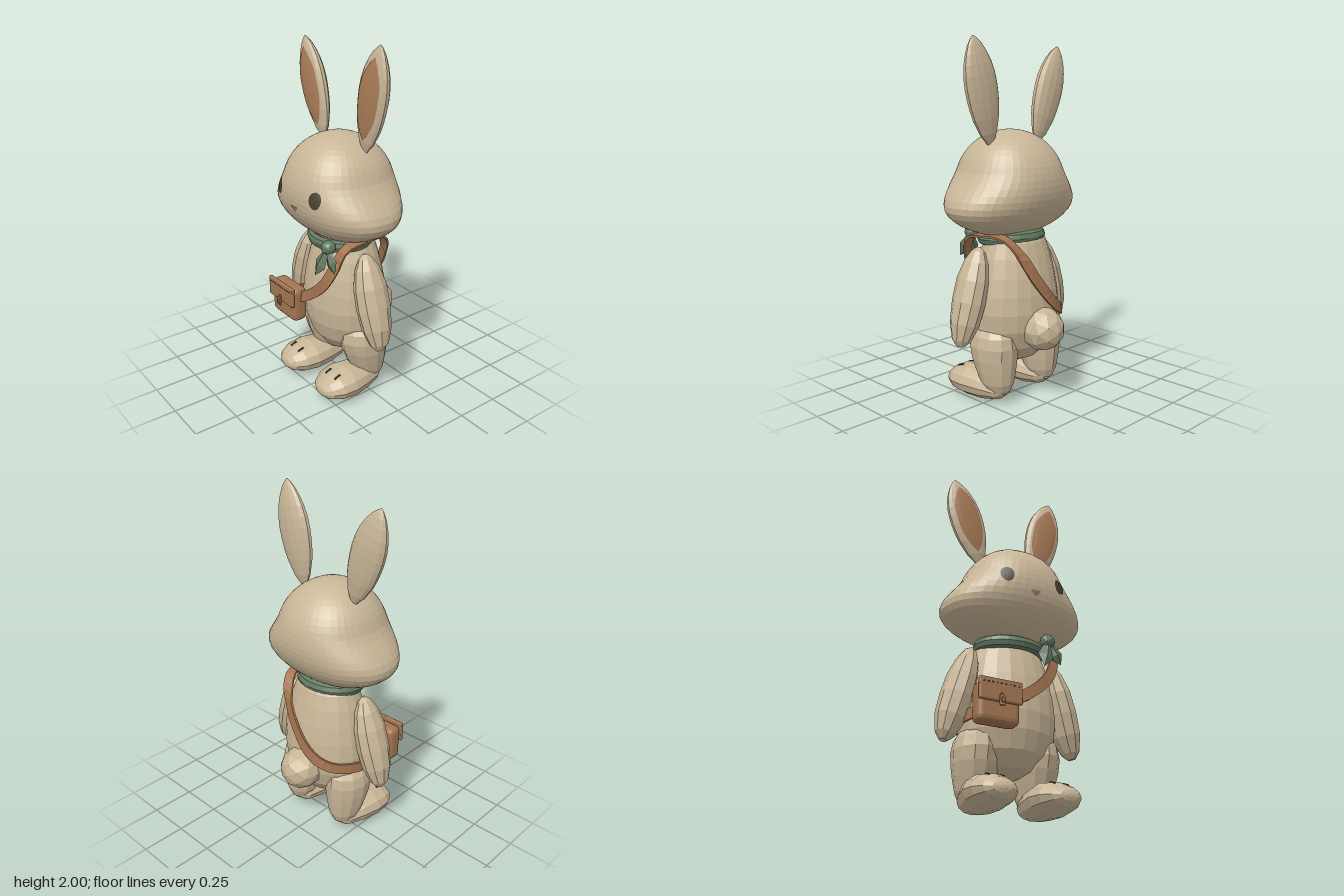
import * as THREE from 'three';
import { RoundedBoxGeometry } from 'three/addons/geometries/RoundedBoxGeometry.js';

const V = (x, y, z) => new THREE.Vector3(x, y, z);
const mat = (name, color) => Object.assign(new THREE.MeshStandardMaterial({ color, flatShading: true }), { name });

// Skin a list of point rings; wrap closes each ring, loop joins last ring to first
function loft(rings, { wrap = true, loop = false } = {}) {
  const n = rings[0].length, m = rings.length, pts = rings.flat(), idx = [];
  for (let i = 0; i < (loop ? m : m - 1); i++)
    for (let j = 0; j < (wrap ? n : n - 1); j++) {
      const k = (j + 1) % n, i2 = (i + 1) % m;
      const a = i * n + j, b = i * n + k, c = i2 * n + k, d = i2 * n + j;
      idx.push(a, b, d, b, c, d);
    }
  if (wrap && !loop)
    for (const [row, top] of [[0, false], [m - 1, true]]) {
      const c = pts.length;
      pts.push(rings[row].reduce((s, p) => s.add(p), V(0, 0, 0)).divideScalar(n));
      for (let j = 0; j < n; j++) {
        const a = row * n + j, b = row * n + (j + 1) % n;
        idx.push(c, top ? a : b, top ? b : a);
      }
    }
  const g = new THREE.BufferGeometry().setFromPoints(pts);
  g.setIndex(idx);
  const flat = g.toNonIndexed();
  flat.computeVertexNormals();
  return flat;
}

// Horizontal ellipse, starting at +z and turning toward +x; power below 1 makes it boxier
const soft = (v, power) => Math.sign(v) * Math.abs(v) ** power;
const ring = (y, rx, rz, n, cz = 0, rzBack = rz, power = 1) => Array.from({ length: n }, (_, i) => {
  const a = i / n * Math.PI * 2, c = soft(Math.cos(a), power);
  return V(soft(Math.sin(a), power) * rx, y, cz + c * (c > 0 ? rz : rzBack));
});

// Linear lookup in a table of rows whose first entry is the key
function lookup(table, key) {
  let i = 0;
  while (i < table.length - 2 && table[i + 1][0] < key) i++;
  const a = table[i], b = table[i + 1];
  const t = THREE.MathUtils.clamp((key - a[0]) / (b[0] - a[0]), 0, 1);
  return a.map((v, k) => v + (b[k] - v) * t);
}

// Body profile: height, half width, half depth
const BODY = [[0.2, 0.03, 0.03], [0.24, 0.13, 0.12], [0.32, 0.22, 0.18], [0.42, 0.265, 0.212], [0.52, 0.275, 0.222],
  [0.62, 0.265, 0.216], [0.72, 0.246, 0.2], [0.82, 0.222, 0.175], [0.9, 0.193, 0.152], [0.97, 0.13, 0.11]];

// Head: round from the side, cheeks flaring low down
const HEAD_Y = 1.2175, HEAD_R = 0.297, HEAD_Z = 0.04, HEAD_POWER = 0.91;
function headSize(y) {
  const t = THREE.MathUtils.clamp((y - HEAD_Y) / HEAD_R, -1, 1), r = HEAD_R * Math.sqrt(1 - t * t);
  return [r * (1 + 0.61 * THREE.MathUtils.smoothstep(-t, -0.32, 0.65)), r];
}
function onFace(x, y) {
  const [w, d] = headSize(y), e = 2 / HEAD_POWER;
  return V(x, y, HEAD_Z + d * (1 - Math.abs(x / w) ** e) ** (1 / e) + 0.004);
}

// Ear profile: fraction of length, half width
const EAR = [[0, 0.02], [0.1, 0.055], [0.25, 0.085], [0.35, 0.096], [0.45, 0.102], [0.55, 0.104], [0.65, 0.1], [0.75, 0.088],
  [0.84, 0.069], [0.92, 0.045], [0.97, 0.022], [1, 0.003]];

export function createModel() {
  const fur = mat('fur', 0xc9b697), pink = mat('innerEar', 0xaa7d58), dark = mat('darkBrown', 0x483d31),
    leather = mat('leather', 0xa47551), green = mat('scarfGreen', 0x627a60), noseTone = mat('noseTone', 0xa6755c);
  const model = new THREE.Group();
  const add = (name, geo, material, parent = model) => {
    const m = new THREE.Mesh(geo, material);
    m.name = name;
    parent.add(m);
    return m;
  };
  const group = (name) => {
    const g = new THREE.Group();
    g.name = name;
    model.add(g);
    return g;
  };

  add('body', loft(BODY.map(([y, rx, rz]) => ring(y, rx, rz, 20))), fur);

  const headRings = [];
  for (let i = 0; i <= 26; i++) {
    const y = HEAD_Y + HEAD_R * Math.sin((i / 26 - 0.5) * Math.PI * 0.995), [w, d] = headSize(y);
    headRings.push(ring(y, w, d, 44, HEAD_Z, d, HEAD_POWER));
  }
  add('head', loft(headRings), fur);

  // Eyes and nose follow the face surface
  const patch = (cx, cy, h, halfWidth, steps) => loft(Array.from({ length: steps + 1 }, (_, i) => {
    const t = i / steps * 2 - 1;
    return [-1, -0.5, 0, 0.5, 1].map(u => onFace(cx + u * halfWidth(t), cy + t * h));
  }), { wrap: false });
  for (const s of [-1, 1])
    add(s > 0 ? 'leftEye' : 'rightEye', patch(s * 0.16, 1.225, 0.047, t => 0.034 * Math.sqrt(1 - t * t), 12), dark);
  add('nose', patch(0, 1.139, 0.016, t => 0.033 * (t + 1) / 2, 4), noseTone);

  // Ears: leaf shaped, with an inset coloured face on the front
  const ear = (name, x, tilt, len, wide) => {
    const g = group(name);
    g.position.set(x, 1.44, 0.005);
    g.rotation.z = tilt;
    add('earShell', loft(EAR.map(([t, w]) => ring(t * len, w * wide, w * 0.38, 14, 0, w * 0.5))), fur, g);
    const rows = [];
    for (let i = 0; i <= 14; i++) {
      const t = 0.12 + 0.77 * i / 14, w = lookup(EAR, t)[1];
      const k = 0.7 * Math.min(1, Math.sqrt(Math.sin(Math.PI * i / 14)) * 1.1 + 0.01);
      rows.push([-1, -0.6, -0.2, 0.2, 0.6, 1].map(u =>
        V(u * k * w * wide, t * len, w * 0.38 * Math.sqrt(1 - (u * k) ** 2) + 0.004)));
    }
    add('innerEar', loft(rows, { wrap: false }), pink, g);
  };
  ear('rightEar', -0.18, 0.31, 0.555, 1.03);
  ear('leftEar', 0.18, -0.21, 0.573, 1.06);

  // Arm profile along its length: height, half width, half depth
  const ARM = [[-0.275, 0.02, 0.025], [-0.24, 0.052, 0.055], [-0.15, 0.08, 0.085], [-0.03, 0.086, 0.1], [0.09, 0.081, 0.098],
    [0.19, 0.06, 0.075], [0.25, 0.035, 0.042], [0.275, 0.01, 0.012]];
  // Leg profile: height, half width, half depth, depth centre
  const LEG = [[0.07, 0.065, 0.075, -0.04], [0.12, 0.09, 0.1, -0.035], [0.19, 0.108, 0.12, -0.025], [0.26, 0.122, 0.138, -0.014],
    [0.33, 0.126, 0.15, -0.008], [0.39, 0.113, 0.142, -0.006], [0.44, 0.08, 0.105, -0.005], [0.47, 0.03, 0.05, 0]];
  // Foot sections: z, half width, bottom, top
  const FOOT = [[-0.1, 0.035, 0.055, 0.1], [-0.06, 0.08, 0.02, 0.135], [0.04, 0.114, 0, 0.172], [0.14, 0.134, 0, 0.182],
    [0.22, 0.124, 0.012, 0.166], [0.28, 0.09, 0.032, 0.138], [0.305, 0.05, 0.055, 0.11], [0.312, 0.015, 0.075, 0.092]];
  for (const s of [-1, 1]) {
    const side = s > 0 ? 'left' : 'right';
    const arm = add(side + 'Arm', loft(ARM.map(([y, rx, rz]) => ring(y, rx, rz, 10))), fur);
    arm.position.set(s * 0.308, 0.617, 0.04);
    arm.rotation.z = s * 0.27;
    add(side + 'Leg', loft(LEG.map(([y, rx, rz, cz]) => ring(y, rx, rz, 12, cz))), fur).position.x = s * 0.175;
    const foot = group(side + 'Foot');
    foot.position.x = s * 0.172;
    foot.rotation.y = s * 0.04;
    add('paw', loft(FOOT.map(([z, hw, lo, hi]) => Array.from({ length: 12 }, (_, i) => {
      const a = i / 12 * Math.PI * 2;
      return V(Math.cos(a) * hw, (lo + hi) / 2 + Math.sin(a) * (hi - lo) / 2, z);
    }))), fur, foot);
    for (const x of [-0.04, 0.04]) {
      const toe = add('toeMark', new THREE.BoxGeometry(0.01, 0.009, 0.04), dark, foot);
      toe.position.set(x, 0.159, 0.22);
      toe.rotation.x = 0.35;
    }
  }

  add('tail', new THREE.IcosahedronGeometry(0.123, 1), fur).position.set(0, 0.425, -0.217);

  // Scarf: neck ring, knot and two pointed tails
  const scarf = group('scarf');
  const band = add('neckBand', new THREE.TorusGeometry(0.175, 0.032, 8, 28).rotateX(Math.PI / 2), green, scarf);
  band.scale.set(1, 1.15, 0.85);
  band.position.set(0, 0.917, 0.028);
  band.rotation.x = 0.06;
  const knot = add('knot', new THREE.IcosahedronGeometry(0.042, 1), green, scarf);
  knot.position.set(0.137, 0.932, 0.21);
  for (const [tilt, len, lean] of [[-0.3, 0.175, -0.28], [0.55, 0.14, -0.08]]) {
    const tail = add('scarfTail', loft([[-1, 0.003, 0.003], [-0.6, 0.046, 0.022], [0, 0.014, 0.014]]
      .map(([t, w, d]) => ring(t * len, w, d, 4))), green, scarf);
    tail.position.set(0.137, 0.925, 0.215);
    tail.rotation.set(lean, 0, tilt);
  }

  // Shoulder strap: flat band looped around the body, kept outside its surface
  const path = new THREE.CatmullRomCurve3([V(-0.13, 0.53, 0.24), V(0, 0.6, 0.24), V(0.12, 0.705, 0.232), V(0.178, 0.82, 0.2),
    V(0.2, 0.92, 0.15), V(0.2, 0.942, 0.03), V(0.18, 0.935, -0.11), V(0.135, 0.85, -0.18), V(0.05, 0.705, -0.22),
    V(-0.08, 0.56, -0.228), V(-0.19, 0.495, -0.18), V(-0.285, 0.475, -0.04), V(-0.28, 0.48, 0.1), V(-0.22, 0.5, 0.2)], true);
  const COUNT = 48, centres = [];
  for (let i = 0; i < COUNT; i++) {
    const p = path.getPointAt(i / COUNT), [, rx, rz] = lookup(BODY, p.y);
    const k = Math.max(1, 1 / Math.hypot(p.x / (rx + 0.01), p.z / (rz + 0.01)));
    centres.push(V(p.x * k, p.y, p.z * k));
  }
  const strapRings = centres.map((p, i) => {
    const t = centres[(i + 1) % COUNT].clone().sub(centres[(i + COUNT - 1) % COUNT]).normalize();
    const n = V(p.x * (p.x > 0 ? 0.3 : 1), 0.5 * THREE.MathUtils.smoothstep(p.y, 0.8, 0.93), p.z);
    n.addScaledVector(t, -n.dot(t)).normalize();
    const w = t.clone().cross(n);
    return [[1, -1], [1, 1], [-1, 1], [-1, -1]].map(([a, b]) =>
      p.clone().addScaledVector(n, a * 0.006).addScaledVector(w, b * 0.03));
  });
  add('strap', loft(strapRings, { loop: true }), leather);

  // Satchel with flap, stitches and clasp
  const bag = group('satchel');
  bag.position.set(-0.195, 0, 0);
  const block = (name, w, h, d, r, x, y, z) =>
    add(name, new RoundedBoxGeometry(w, h, d, 2, r), leather, bag).position.set(x, y, z);
  block('pouch', 0.234, 0.21, 0.095, 0.032, 0, 0.498, 0.252);
  block('flap', 0.24, 0.118, 0.022, 0.008, 0, 0.558, 0.305);
  block('claspStrap', 0.016, 0.05, 0.012, 0.004, 0, 0.515, 0.32);
  block('claspPlate', 0.03, 0.055, 0.012, 0.005, 0, 0.502, 0.323);
  block('claspStud', 0.018, 0.026, 0.012, 0.005, 0, 0.502, 0.333);
  for (let i = 0; i < 9; i++)
    add('stitch', new THREE.BoxGeometry(0.008, 0.006, 0.006), dark, bag).position.set((i - 4) * 0.024, 0.592, 0.316);

  return model;
}
